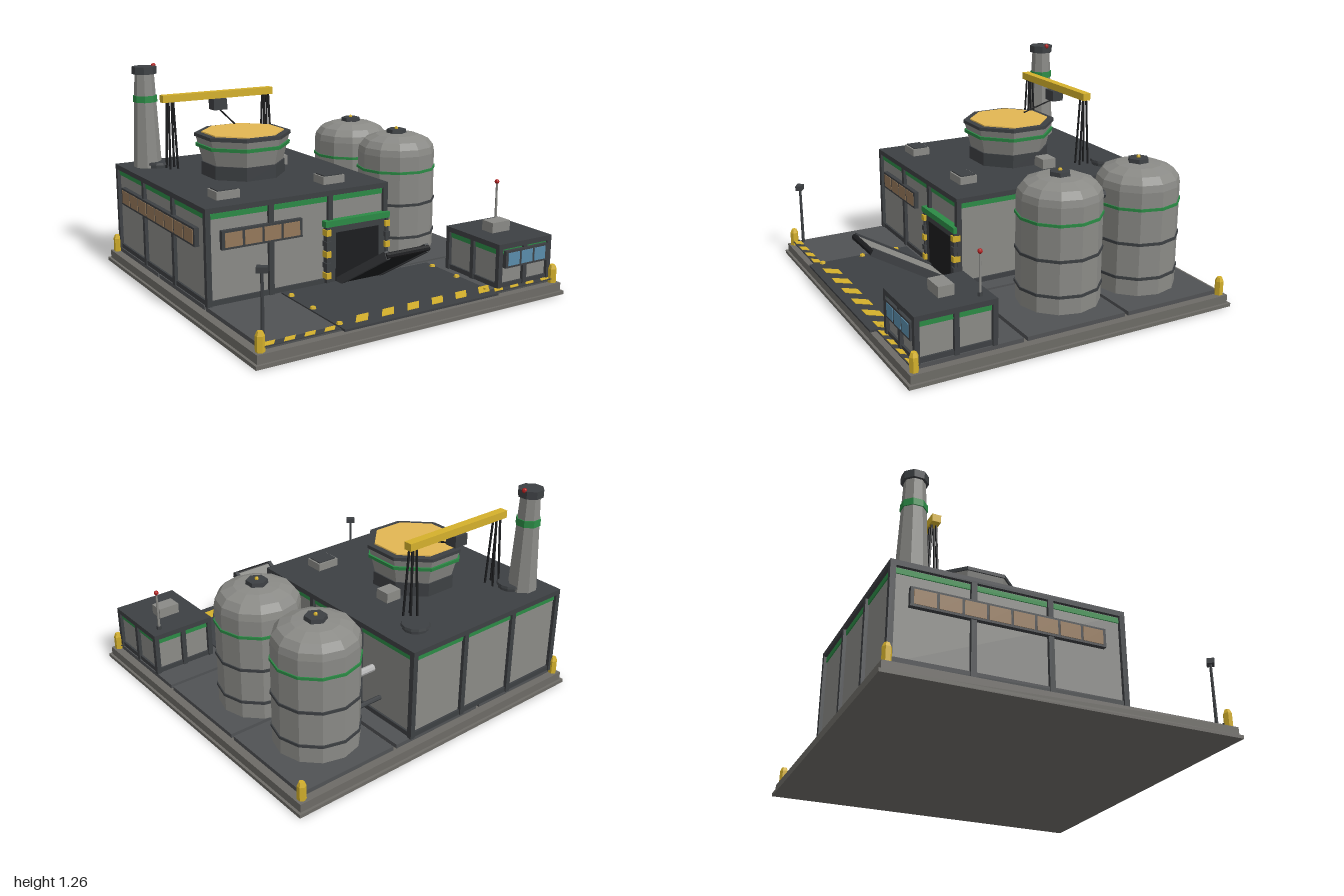
import * as THREE from 'three';

const M = (c) => new THREE.MeshStandardMaterial({ color: c, flatShading: true });
const wall = M(0x8a8a86), dark = M(0x3d4043), tile = M(0x505254), black = M(0x1c1d1f), concrete = M(0x6d6b66);
const green = M(0x2b8a45), yellow = M(0xd4b02c), gold = M(0xe2b653), blue = M(0x5a8cab), amber = M(0x94785a);
const red = M(0xb02020), pipe = M(0xb4b4b4);

export function createModel() {
  const root = new THREE.Group();
  root.name = 'factory';

  const add = (name, geo, mat, x = 0, y = 0, z = 0, parent = root) => {
    const m = new THREE.Mesh(geo, mat);
    m.name = name;
    m.position.set(x, y, z);
    parent.add(m);
    return m;
  };
  // box given by its extents
  const box = (name, mat, x0, x1, y0, y1, z0, z1, parent = root) =>
    add(name, new THREE.BoxGeometry(x1 - x0, y1 - y0, z1 - z0), mat, (x0 + x1) / 2, (y0 + y1) / 2, (z0 + z1) / 2, parent);
  // upright prism; flats face the axes when turn is half a side
  const prism = (name, mat, x, z, y0, y1, r0, r1, n, turn = 0, parent = root) => {
    const m = add(name, new THREE.CylinderGeometry(r1, r0, y1 - y0, n), mat, x, (y0 + y1) / 2, z, parent);
    m.rotation.y = turn;
    return m;
  };
  // straight rod between two points
  const rod = (name, mat, a, b, r, n = 6) => {
    const A = new THREE.Vector3(...a), B = new THREE.Vector3(...b);
    const m = add(name, new THREE.CylinderGeometry(r, r, A.distanceTo(B), n), mat);
    m.position.copy(A).lerp(B, 0.5);
    m.quaternion.setFromUnitVectors(new THREE.Vector3(0, 1, 0), B.sub(A).normalize());
    return m;
  };
  // slanted painted stripe lying flat
  const stripe = (x, z0, z1, w, shear, y) => {
    const s = new THREE.Shape([[0, 0], [w, 0], [w + shear, z1 - z0], [shear, z1 - z0]].map((p) => new THREE.Vector2(...p)));
    const g = new THREE.ExtrudeGeometry(s, { depth: 0.004, bevelEnabled: false });
    g.rotateX(-Math.PI / 2);
    add('hazardStripe', g, yellow, x, y, z1);
  };

  // ground slab and paving tiles
  box('plinth', concrete, -1, 1, 0, 0.02, -1, 1);
  box('slab', concrete, -0.985, 0.985, 0.02, 0.068, -0.985, 0.985);
  for (const i of [-1, 0, 1]) for (const j of [-1, 0, 1]) {
    const c = i * 0.633, d = j * 0.633;
    box('pavingTile', tile, c - 0.305, c + 0.305, 0.068, 0.092, d - 0.305, d + 0.305);
  }
  for (const s of [-1, 1]) for (const t of [-1, 1]) {
    prism('bollard', yellow, 0.95 * s, 0.95 * t, 0.068, 0.15, 0.025, 0.025, 6);
    prism('bollardCap', yellow, 0.95 * s, 0.95 * t, 0.15, 0.173, 0.025, 0.015, 6);
  }

  // loading apron with markings and marker studs
  box('apron', dark, -0.5, 0.5, 0.088, 0.1, 0.36, 1);
  for (let i = 0; i < 6; i++) stripe(-0.405 + i * 0.162, 0.87, 0.95, 0.075, 0.06, 0.099);
  for (const s of [-1, 1]) {
    const x0 = s < 0 ? -0.95 : 0.5;
    box('edgeStrip', dark, x0, x0 + 0.45, 0.09, 0.095, 0.92, 0.965);
    for (let i = 0; i < 4; i++) stripe(x0 + 0.01 + i * 0.115, 0.92, 0.96, 0.06, 0.03, 0.094);
    for (const z of [0.44, 0.665, 0.92]) prism('markerStud', yellow, 0.482 * s, z, 0.1, 0.112, 0.018, 0.014, 6);
  }

  // framed building: walls, posts, skirt, roof and coloured band on all four sides
  const building = (name, x0, x1, z0, z1, top, bays, postW, bandY) => {
    const g = new THREE.Group(), in1 = 0.02;
    g.name = name;
    root.add(g);
    box('walls', wall, x0 + in1, x1 - in1, 0.09, top - 0.02, z0 + in1, z1 - in1, g);
    box('skirt', dark, x0 + 0.008, x1 - 0.008, 0.09, 0.12, z0 + 0.008, z1 - 0.008, g);
    box('band', green, x0 + 0.014, x1 - 0.014, bandY, bandY + 0.03, z0 + 0.014, z1 - 0.014, g);
    box('roof', dark, x0, x1, top - 0.03, top, z0, z1, g);
    for (let i = 0; i <= bays; i++) {
      const px = x0 + ((x1 - x0 - postW) * i) / bays, pz = z0 + ((z1 - z0 - postW) * i) / bays;
      for (const z of [z0, z1 - in1 - 0.005]) box('post', dark, px, px + postW, 0.09, top - 0.02, z, z + 0.025, g);
      for (const x of [x0, x1 - in1 - 0.005]) box('post', dark, x, x + 0.025, 0.09, top - 0.02, pz, pz + postW, g);
    }
    return g;
  };
  // row of panes along x, facing +z
  const windows = (name, mat, w, h, n, x, y, z, turn = 0) => {
    const g = new THREE.Group();
    g.name = name;
    g.position.set(x, y, z);
    g.rotation.y = turn;
    root.add(g);
    add('windowFrame', new THREE.BoxGeometry(w, h, 0.03), dark, 0, 0, 0, g);
    const step = (w - 0.02) / n;
    for (let i = 0; i < n; i++)
      add('pane', new THREE.BoxGeometry(step - 0.015, h - 0.025, 0.036), mat, -w / 2 + 0.01 + step * (i + 0.5), 0, 0, g);
  };
  building('mainHall', -0.94, 0.215, -0.95, 0.35, 0.63, 3, 0.03, 0.565);
  windows('frontWindows', amber, 0.49, 0.105, 4, -0.605, 0.447, 0.342);
  windows('sideWindows', amber, 1.07, 0.105, 8, -0.932, 0.447, -0.31, -Math.PI / 2);
  building('controlCabin', 0.55, 0.94, 0.48, 0.94, 0.35, 2, 0.028, 0.285);
  windows('cabinWindows', blue, 0.31, 0.1, 3, 0.75, 0.258, 0.932);
  box('cabinRoofUnit', wall, 0.67, 0.8, 0.35, 0.41, 0.655, 0.745);
  prism('aerial', wall, 0.87, 0.545, 0.35, 0.58, 0.008, 0.006, 6);
  prism('aerialFoot', dark, 0.87, 0.545, 0.35, 0.37, 0.016, 0.014, 6);
  add('aerialLight', new THREE.SphereGeometry(0.014, 8, 6), red, 0.87, 0.59, 0.545);

  // door, striped jambs and canopy
  box('doorSurround', dark, -0.19, 0.19, 0.09, 0.43, 0.32, 0.358);
  box('doorway', black, -0.145, 0.145, 0.1, 0.385, 0.33, 0.362);
  for (const s of [-1, 1]) for (let i = 0; i < 5; i++) {
    const y = 0.125 + i * 0.0625;
    box('doorJamb', i % 2 ? dark : yellow, s * 0.2 - 0.016, s * 0.2 + 0.016, y, y + (i % 2 ? 0.03 : 0.035), 0.33, 0.376);
    box('jambCore', dark, s * 0.2 - 0.01, s * 0.2 + 0.01, y - 0.03, y + 0.06, 0.33, 0.368);
  }
  box('doorCanopy', green, -0.22, 0.215, 0.425, 0.46, 0.33, 0.372);

  // inclined conveyor out of the door
  const conveyor = new THREE.Group();
  conveyor.name = 'conveyor';
  conveyor.position.set(0, 0.235, 0.6);
  conveyor.rotation.x = -Math.atan2(0.28, 0.47);
  root.add(conveyor);
  box('belt', wall, -0.12, 0.12, 0.005, 0.015, -0.27, 0.27, conveyor);
  box('beltBed', black, -0.125, 0.125, -0.015, 0.005, -0.275, 0.275, conveyor);
  for (const s of [-1, 1]) box('beltRail', dark, s * 0.131 - 0.012, s * 0.131 + 0.012, -0.02, 0.025, -0.275, 0.275, conveyor);
  for (const z of [-0.27, 0.27]) add('roller', new THREE.CylinderGeometry(0.018, 0.018, 0.28, 8).rotateZ(Math.PI / 2), black, 0, 0, z, conveyor);

  // storage tanks with domed tops, hoops and feed pipes
  const tankProfile = [[0, 0.09], [0.24, 0.09], [0.24, 0.7], [0.232, 0.74], [0.2, 0.78], [0.13, 0.808], [0, 0.82]]
    .map((p) => new THREE.Vector2(...p));
  for (const z of [-0.61, -0.09]) {
    add('tank', new THREE.LatheGeometry(tankProfile, 12), wall, 0.59, 0, z);
    for (const [y, m] of [[0.195, dark], [0.4, dark], [0.603, green]]) prism('tankHoop', m, 0.59, z, y - 0.008, y + 0.008, 0.247, 0.247, 12);
    prism('tankHatch', dark, 0.59, z, 0.8, 0.838, 0.065, 0.06, 6);
    add('tankValve', new THREE.SphereGeometry(0.012, 6, 5), yellow, 0.59, 0.842, z);
    rod('feedPipe', pipe, [0.19, 0.375, z], [0.37, 0.375, z], 0.021, 8);
    rod('drainPipe', dark, [0.19, 0.215, z - 0.065], [0.4, 0.215, z - 0.065], 0.014, 8);
  }
  rod('tankLink', dark, [0.59, 0.66, -0.4], [0.59, 0.66, -0.3], 0.03, 8);

  // octagonal reactor on the roof; radii given across the flats
  const oct = (name, mat, y0, y1, a0, a1) =>
    prism(name, mat, -0.375, -0.31, y0, y1, a0 / Math.cos(Math.PI / 8), a1 / Math.cos(Math.PI / 8), 8, Math.PI / 8);
  oct('reactorBase', dark, 0.63, 0.71, 0.23, 0.23);
  oct('reactorWall', wall, 0.71, 0.865, 0.222, 0.258);
  oct('reactorBand', green, 0.802, 0.822, 0.258, 0.26);
  oct('reactorRim', dark, 0.862, 0.882, 0.265, 0.265);
  oct('reactorGlow', gold, 0.88, 0.889, 0.228, 0.226);

  // chimney
  prism('chimney', wall, -0.79, -0.79, 0.63, 1.21, 0.086, 0.058, 8, Math.PI / 8);
  prism('chimneyBand', green, -0.79, -0.79, 1.03, 1.07, 0.073, 0.071, 8, Math.PI / 8);
  prism('chimneyCap', dark, -0.79, -0.79, 1.2, 1.245, 0.074, 0.074, 8, Math.PI / 8);
  add('chimneyLight', new THREE.SphereGeometry(0.015, 8, 6), red, -0.727, 1.245, -0.795);

  // roof equipment
  for (const [x, z] of [[-0.74, -0.745], [0.03, -0.76]]) {
    prism('roofVent', dark, x, z, 0.63, 0.655, 0.072, 0.072, 12);
    prism('roofVentLid', dark, x, z, 0.65, 0.664, 0.082, 0.078, 12);
  }
  for (const x of [-0.74, -0.07]) {
    box('skylightCurb', wall, x - 0.07, x + 0.07, 0.63, 0.675, 0.11, 0.22);
    box('skylight', dark, x - 0.06, x + 0.06, 0.67, 0.681, 0.12, 0.21);
  }
  box('airUnit', wall, -0.14, -0.04, 0.63, 0.69, -0.455, -0.365);

  // gantry crane
  box('craneBeam', yellow, -0.745, 0, 1.038, 1.082, -0.67, -0.62);
  for (const x of [-0.69, -0.04]) for (const s of [-1, 1]) for (const t of [-1, 1])
    rod('craneLeg', black, [x + s * 0.015, 1.04, -0.645 + t * 0.012], [x + s * 0.025, 0.63, -0.645 + t * 0.03], 0.007);
  box('hoist', dark, -0.418, -0.328, 0.968, 1.035, -0.68, -0.605);
  rod('hoistArm', black, [-0.373, 0.975, -0.64], [-0.373, 0.91, -0.42], 0.005);

  // lamp post at the front corner
  prism('lampPost', dark, -0.91, 0.905, 0.09, 0.45, 0.01, 0.008, 6);
  const lamp = box('lampHead', dark, -0.938, -0.882, 0.445, 0.475, 0.887, 0.927);
  lamp.rotation.y = -0.6;
  return root;
}
